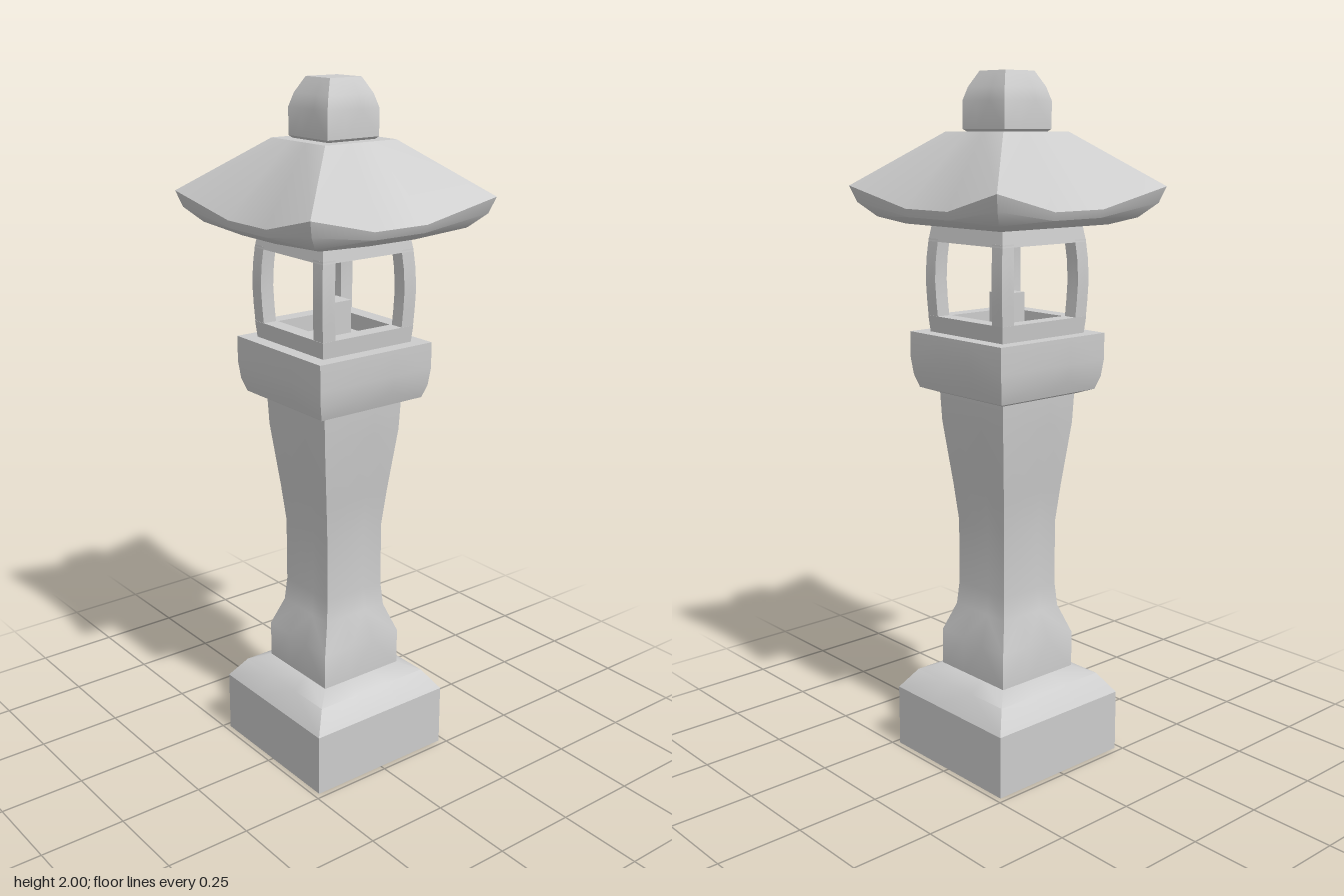
import * as THREE from 'three';
import { toCreasedNormals } from 'three/addons/utils/BufferGeometryUtils.js';

const material = new THREE.MeshStandardMaterial({ color: 0xcccccc });

// Square ring: half width and height at mid-side, optionally different at the corners.
// Each side runs corner, two inner points, (next corner), counterclockwise from above.
function squareRing([half, y, cornerHalf = half, cornerY = y]) {
  const points = [];
  for (let side = 0; side < 4; side++) {
    const row = [
      new THREE.Vector3(-cornerHalf, cornerY, cornerHalf),
      new THREE.Vector3(-0.31 * half, y, half),
      new THREE.Vector3(0.31 * half, y, half),
    ];
    row.forEach((p) => points.push(p.applyAxisAngle(new THREE.Vector3(0, 1, 0), side * Math.PI / 2)));
  }
  return points;
}

// Skin between successive square rings; a half width of 0 closes the end.
function squareLoft(sections) {
  const rings = sections.map(squareRing);
  const positions = [];
  const tri = (...corners) => corners.forEach((p) => positions.push(p.x, p.y, p.z));
  for (let i = 0; i < rings.length - 1; i++) {
    for (let k = 0; k < 12; k++) {
      const n = (k + 1) % 12;
      const a = rings[i][k], b = rings[i][n], c = rings[i + 1][n], d = rings[i + 1][k];
      if (sections[i][0] === 0) tri(a, c, d);
      else if (sections[i + 1][0] === 0) tri(a, b, c);
      else if (k % 3 === 2) { tri(a, b, d); tri(b, c, d); }
      else { tri(a, b, c); tri(a, c, d); }
    }
  }
  const geometry = new THREE.BufferGeometry();
  geometry.setAttribute('position', new THREE.Float32BufferAttribute(positions, 3));
  return toCreasedNormals(geometry, 0.6);
}

// Solid with flat ends
const solid = (sections) => squareLoft([
  [0, sections[0][1]], ...sections, [0, sections[sections.length - 1][1]],
]);

// Hollow square frame: outside going up, inside coming down
const frame = (y0, y1, outer0, outer1, inner) => squareLoft([
  [inner, y0], [outer0, y0], [outer1, y1], [inner, y1], [inner, y0],
]);

export function createModel() {
  const model = new THREE.Group();
  model.name = 'stoneLantern';
  const add = (name, geometry, parent = model) => {
    const mesh = new THREE.Mesh(geometry, material);
    mesh.name = name;
    parent.add(mesh);
    return mesh;
  };

  add('base', solid([[0.233, 0], [0.233, 0.185], [0.19, 0.245], [0.133, 0.27]]));

  // Waisted pillar
  add('pillar', solid([
    [0.137, 0.26], [0.137, 0.375], [0.106, 0.46], [0.1, 0.53], [0.1, 0.72],
    [0.111, 0.83], [0.133, 1.02], [0.137, 1.11],
  ]));

  add('platform', solid([[0.142, 1.105], [0.178, 1.118], [0.19, 1.155], [0.196, 1.205], [0.196, 1.28]]));

  // Open fire box: sill, head and four bowed corner posts
  const fireBox = new THREE.Group();
  fireBox.name = 'fireBox';
  model.add(fireBox);
  add('sill', frame(1.275, 1.327, 0.154, 0.159, 0.112), fireBox);
  add('head', frame(1.537, 1.592, 0.157, 0.148, 0.112), fireBox);
  const postPath = [[0.137, 1.32], [0.14, 1.375], [0.142, 1.43], [0.14, 1.49], [0.135, 1.545]];
  for (const sx of [-1, 1]) {
    for (const sz of [-1, 1]) {
      const post = solid(postPath.map(([, y]) => [0.021, y]));
      const p = post.attributes.position;
      for (let i = 0; i < p.count; i++) {
        const offset = postPath.find(([, y]) => Math.abs(y - p.getY(i)) < 0.001)[0];
        p.setX(i, p.getX(i) + sx * offset);
        p.setZ(i, p.getZ(i) + sz * offset);
      }
      post.deleteAttribute('normal');
      add('cornerPost', toCreasedNormals(post, 0.6), fireBox);
    }
  }
  add('lamp', new THREE.BoxGeometry(0.07, 0.12, 0.07), fireBox).position.y = 1.335;

  // Roof with upswept corners and a rounded underside
  add('roof', solid([
    [0.2, 1.585], [0.25, 1.592, 0.258, 1.605], [0.28, 1.612, 0.298, 1.645],
    [0.288, 1.635, 0.313, 1.69], [0.12, 1.838],
  ]));

  add('finial', solid([[0.07, 1.83], [0.087, 1.845], [0.087, 1.92], [0.076, 1.957], [0.053, 2]]));

  return model;
}
